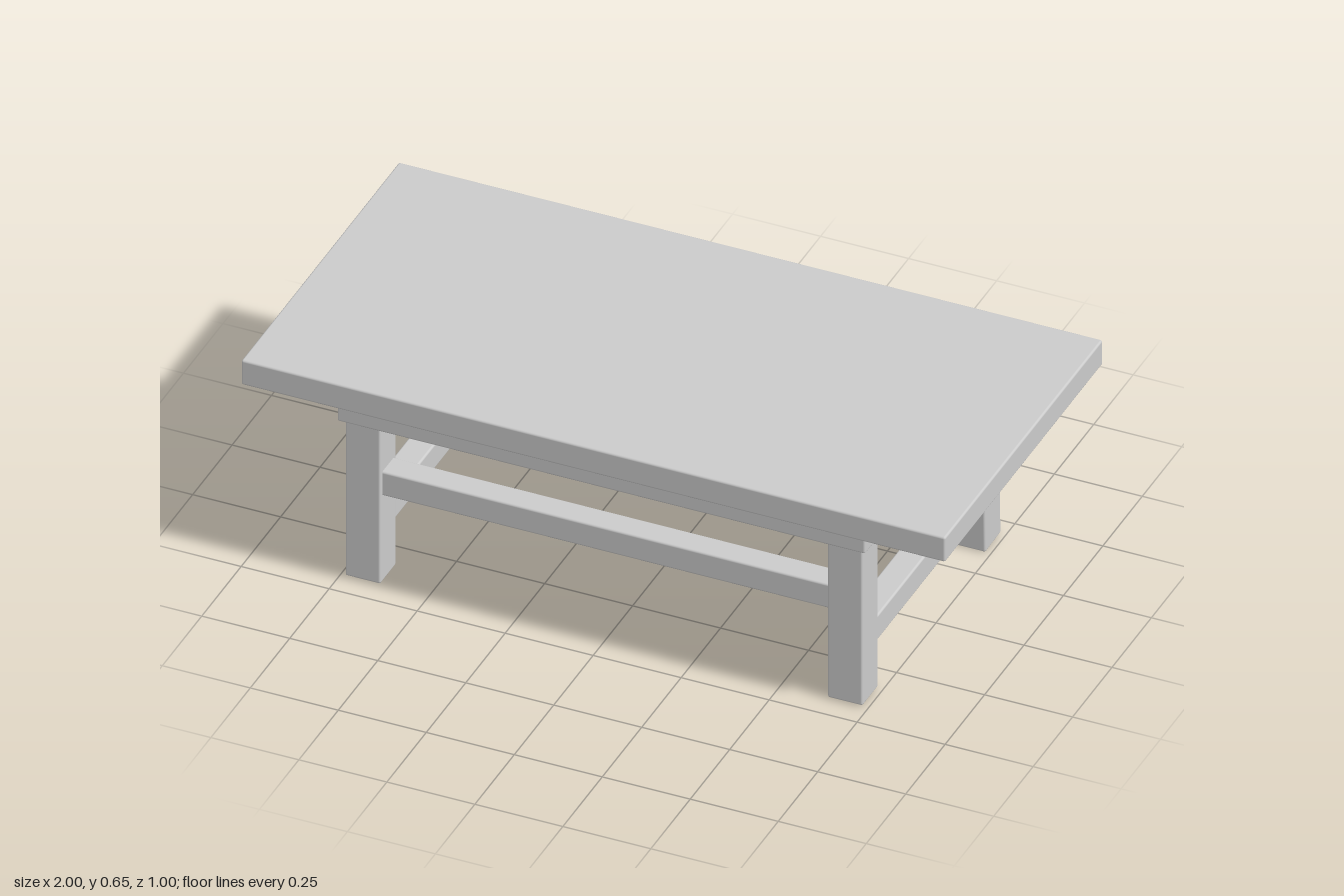
import * as THREE from 'three';
import { RoundedBoxGeometry } from 'three/addons/geometries/RoundedBoxGeometry.js';

export function createModel() {
  const group = new THREE.Group();
  const material = new THREE.MeshStandardMaterial({ color: 0xcccccc });

  // Softly rounded timber, given by size and centre
  function timber(name, size, centre) {
    const mesh = new THREE.Mesh(new RoundedBoxGeometry(...size, 3, 0.006), material);
    mesh.name = name;
    mesh.position.set(...centre);
    group.add(mesh);
    return mesh;
  }

  timber('tableTop', [2, 0.077, 1], [0, 0.6095, 0]);
  timber('underFrame', [1.5, 0.075, 0.9], [0, 0.533, 0]);

  const legX = 0.685, legZ = 0.3825;
  for (const s of [1, -1]) {
    const side = s > 0 ? 'Left' : 'Right';
    timber('front' + side + 'Leg', [0.1, 0.495, 0.1], [s * legX, 0.2515, legZ]);

    // Back legs lean slightly outward at the foot
    const back = timber('back' + side + 'Leg', [0.1, 0.495, 0.1], [s * legX, 0.249, -0.39]);
    back.rotation.x = 0.028;

    // Low side rails
    timber('side' + side + 'Rail', [0.075, 0.077, 0.69], [s * legX, 0.169, 0]);
    // Higher long rails, front and back
    timber(s > 0 ? 'frontRail' : 'backRail', [1.29, 0.075, 0.075], [0, 0.312, s * legZ]);
  }
  return group;
}
